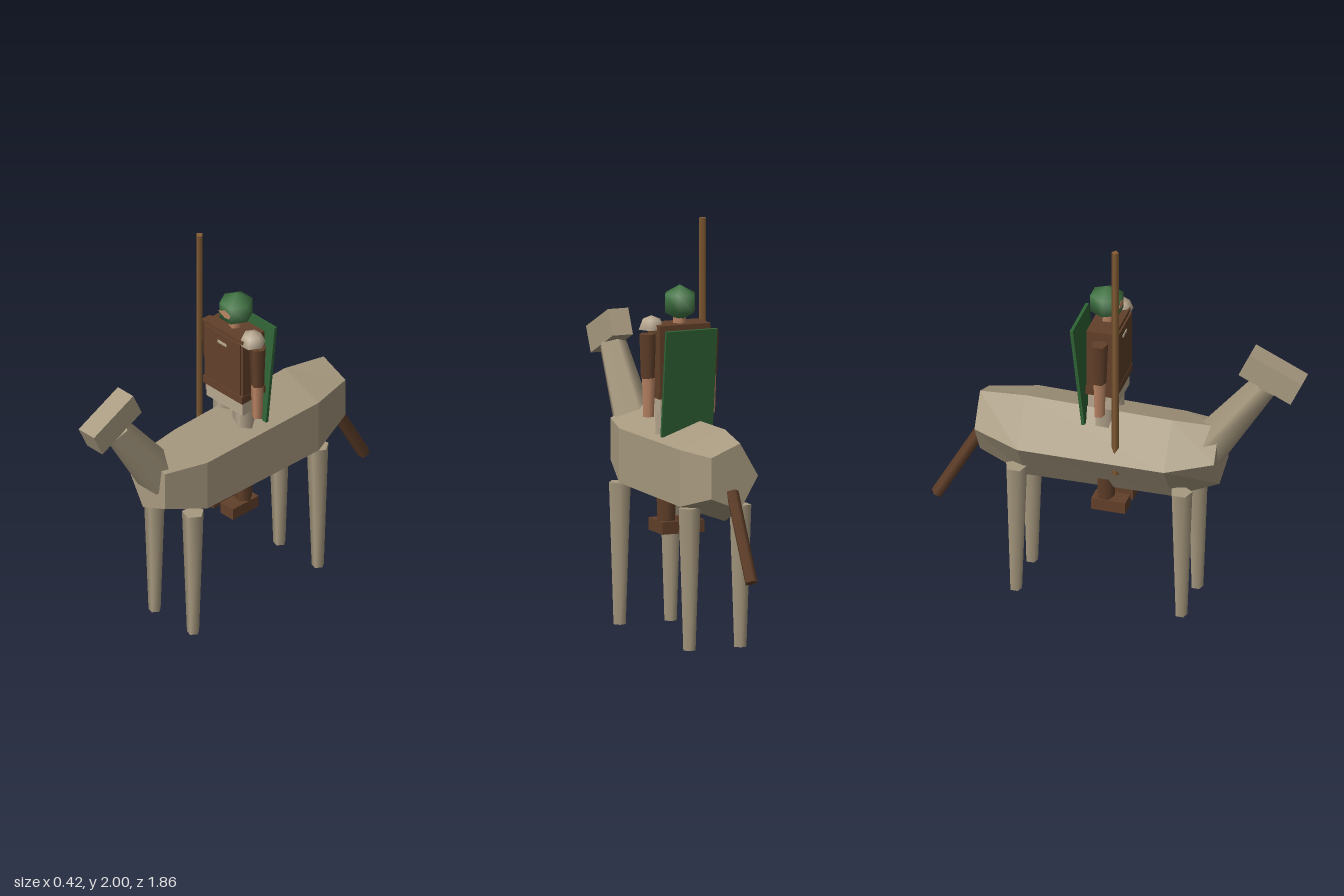
import * as THREE from 'three';

const mat = (name, color) => {
  const m = new THREE.MeshStandardMaterial({ color });
  m.name = name;
  return m;
};

export function createModel() {
  const model = new THREE.Group();
  model.name = 'mountedRider';
  const hide = mat('tan hide', 0xa89a80);
  const leather = mat('brown leather', 0x62402a);
  const cloth = mat('pale cloth', 0xb8a890);
  const skin = mat('skin', 0xbb8564);
  const helmetGreen = mat('helmet green', 0x427544);
  const shieldGreen = mat('shield green', 0x2f6335);
  const wood = mat('spear wood', 0x835c34);

  const add = (name, geometry, material, x = 0, y = 0, z = 0, tilt = 0, parent = model) => {
    const mesh = new THREE.Mesh(geometry, material);
    mesh.name = name;
    mesh.position.set(x, y, z);
    mesh.rotation.x = tilt;
    parent.add(mesh);
    return mesh;
  };
  const box = (name, material, w, h, d, x, y, z, tilt, parent) =>
    add(name, new THREE.BoxGeometry(w, h, d), material, x, y, z, tilt, parent);
  // Upright five-sided tapered post with one corner pointing to +x
  const post = (name, material, x, z, yLow, yHigh, rLow, rHigh, parent) =>
    add(name, new THREE.CylinderGeometry(rHigh, rLow, yHigh - yLow, 5).rotateY(Math.PI / 2),
      material, x, (yLow + yHigh) / 2, z, 0, parent);
  // Five-sided post leaning in the middle plane, one corner towards the back
  const leaning = (name, material, low, high, rLow, rHigh, parent) => {
    const dy = high[0] - low[0], dz = high[1] - low[1];
    return add(name, new THREE.CylinderGeometry(rHigh, rLow, Math.hypot(dy, dz), 5).rotateY(Math.PI),
      material, 0, (low[0] + high[0]) / 2, (low[1] + high[1]) / 2, Math.atan2(dz, dy), parent);
  };

  // ---- Mount ----
  const mount = new THREE.Group();
  mount.name = 'mount';
  model.add(mount);

  // Barrel body: pentagon rings [z, centre y, x radius, y radius], rear to front
  const rings = [
    [-0.68, 0.86, 0.135, 0.17],
    [-0.445, 0.83, 0.21, 0.234],
    [0.285, 0.828, 0.203, 0.224],
    [0.515, 0.873, 0.135, 0.17],
  ];
  let barrel = new THREE.CylinderGeometry(1, 1, 3, 5, 3).rotateY(-Math.PI / 2).rotateX(Math.PI / 2);
  const p = barrel.attributes.position;
  for (let i = 0; i < p.count; i++) {
    const [z, cy, rx, ry] = rings[Math.round(p.getZ(i) + 1.5)];
    p.setXYZ(i, p.getX(i) * rx, cy + p.getY(i) * ry, z);
  }
  barrel = barrel.toNonIndexed();
  barrel.computeVertexNormals();
  add('mountBody', barrel, hide, 0, 0, 0, 0, mount);

  for (const z of [0.35, -0.475])
    for (const x of [-0.132, 0.134])
      post(z > 0 ? 'frontLeg' : 'hindLeg', hide, x, z, 0, 0.69, 0.031, 0.055, mount);

  leaning('mountNeck', hide, [0.89, 0.453], [1.29, 0.739], 0.11, 0.07, mount);
  box('mountHead', hide, 0.106, 0.133, 0.287, 0, 1.35, 0.7715, 0.438, mount);
  leaning('tail', leather, [0.382, -0.905], [0.79, -0.677], 0.032, 0.032, mount);

  // ---- Rider ----
  const rider = new THREE.Group();
  rider.name = 'rider';
  model.add(rider);

  box('torso', leather, 0.264, 0.335, 0.142, 0, 1.347, -0.051, 0, rider);
  box('chestPlate', leather, 0.24, 0.29, 0.009, 0, 1.35, 0.0245, 0, rider);
  box('chestClasp', cloth, 0.06, 0.014, 0.006, 0, 1.45, 0.03, 0, rider);
  box('belt', leather, 0.27, 0.04, 0.155, 0, 1.18, -0.049, 0, rider);
  box('hips', cloth, 0.25, 0.075, 0.133, 0, 1.1225, -0.05, 0, rider);

  for (const side of [-1, 1]) {
    // Arms
    post('sleeve', leather, side * 0.164, -0.048, 1.255, 1.47, 0.034, 0.042, rider);
    post('forearm', skin, side * 0.16, -0.05, 1.068, 1.256, 0.027, 0.033, rider);
    // Legs and boots
    post('thigh', cloth, side * 0.067, -0.05, 0.74, 1.09, 0.05, 0.058, rider);
    post('bootShaft', leather, side * 0.067, -0.047, 0.555, 0.74, 0.045, 0.05, rider);
    box('bootFoot', leather, 0.085, 0.06, 0.17, side * 0.067, 0.53, -0.02, 0, rider);
  }

  // Single dome over the left shoulder
  const dome = new THREE.SphereGeometry(0.066, 6, 2, 0, Math.PI * 2, 0, Math.PI / 2);
  add('shoulderDome', dome, cloth, 0.138, 1.49, -0.035, 0, rider);
  add('shoulderDomeBase', new THREE.CircleGeometry(0.066, 6).rotateX(Math.PI / 2), cloth,
    0.138, 1.49, -0.035, 0, rider);

  // Neck, helmet and the small face opening
  post('riderNeck', skin, 0, -0.055, 1.5, 1.57, 0.032, 0.032, rider);
  add('helmet', new THREE.SphereGeometry(0.087, 6, 3).scale(1.04, 1, 1.1), helmetGreen,
    0, 1.613, -0.06, 0, rider);
  const face = new THREE.Shape([[-0.045, 0], [0, -0.02], [0.03, -0.016], [0.038, 0.004], [0, 0.02]]
    .map(([x, y]) => new THREE.Vector2(x, y)));
  add('faceOpening', new THREE.ExtrudeGeometry(face, { depth: 0.008, bevelEnabled: false }), skin,
    0, 1.61, 0.006, 0, rider);

  // ---- Gear ----
  add('spear', new THREE.CylinderGeometry(0.019, 0.019, 1.25, 4), wood, -0.158, 1.375, 0.03);
  box('shield', shieldGreen, 0.266, 0.522, 0.016, 0, 1.24, -0.168, -0.112);

  return model;
}
